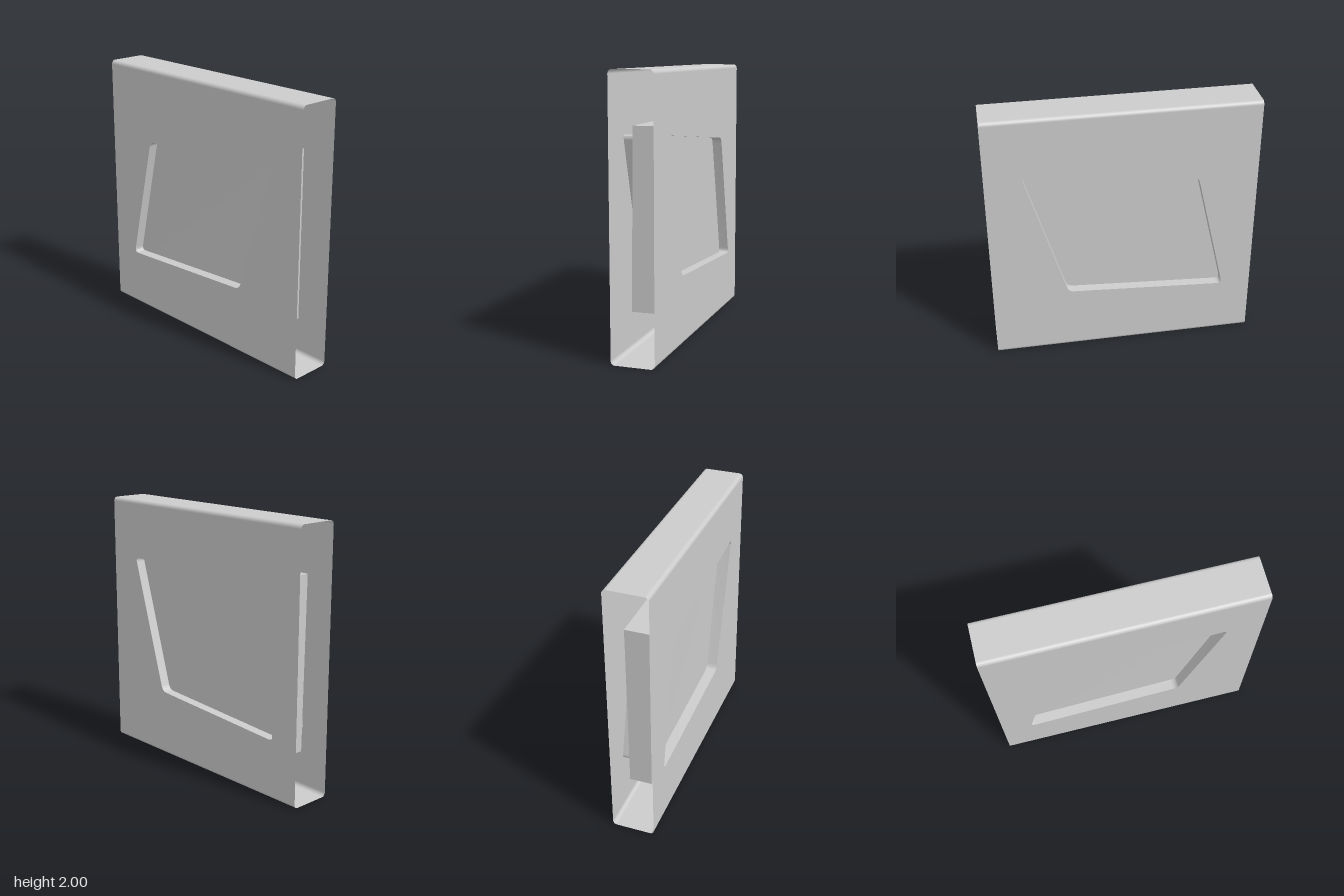
import * as THREE from 'three';
import { toCreasedNormals } from 'three/addons/utils/BufferGeometryUtils.js';

const HALF_DEPTH = 0.16, HEIGHT = 2, RADIUS = 0.03;
const sheet = new THREE.MeshStandardMaterial({ color: 0xcccccc, side: THREE.DoubleSide });
const solid = new THREE.MeshStandardMaterial({ color: 0xcccccc });

function add(group, name, geometry, material) {
  const mesh = new THREE.Mesh(geometry, material);
  mesh.name = name;
  group.add(mesh);
  return mesh;
}

// Slanted four-sided window with softened corners
function windowPath() {
  const c = [[-0.78, 0.444], [0.43, 0.517], [0.738, 1.555], [-0.552, 1.427]]
    .map(([x, y]) => new THREE.Vector2(x, y));
  const cut = 0.045;
  const toward = (a, b) => b.clone().sub(a).setLength(cut).add(a);
  const path = new THREE.Path();
  c.forEach((p, i) => {
    const start = toward(p, c[(i + 3) % 4]), end = toward(p, c[(i + 1) % 4]);
    if (i === 0) path.moveTo(start.x, start.y);
    else path.lineTo(start.x, start.y);
    path.quadraticCurveTo(p.x, p.y, end.x, end.y);
  });
  path.closePath();
  return path;
}

// Top of the sleeve: flat band with a rounded edge at front and back
function capGeometry() {
  const steps = 6, rows = 2 * (steps + 1);
  const geo = new THREE.PlaneGeometry(2, 1, 1, rows - 1);
  const pos = geo.attributes.position, nor = geo.attributes.normal;
  for (let i = 0; i < pos.count; i++) {
    const row = Math.floor(i / 2);
    const back = row <= steps;
    const k = back ? row : rows - 1 - row;
    const a = (k / steps) * Math.PI / 2, s = back ? -1 : 1;
    pos.setY(i, HEIGHT / 2 - RADIUS + RADIUS * Math.sin(a));
    pos.setZ(i, s * (HALF_DEPTH - RADIUS + RADIUS * Math.cos(a)));
    nor.setXYZ(i, 0, Math.sin(a), s * Math.cos(a));
  }
  return geo;
}

// Open wall following the window outline between two depths
function wallGeometry(points, z0, z1) {
  const verts = [], index = [];
  points.forEach((p, i) => {
    verts.push(p.x, p.y, z0, p.x, p.y, z1);
    if (i === points.length - 1) return;
    const a = 2 * i;
    index.push(a, a + 1, a + 2, a + 1, a + 3, a + 2);
  });
  const geo = new THREE.BufferGeometry();
  geo.setAttribute('position', new THREE.Float32BufferAttribute(verts, 3));
  geo.setIndex(index);
  // normals point into the opening
  if (z1 < z0) index.reverse();
  geo.setIndex(index);
  return toCreasedNormals(geo, 0.6);
}

// Slightly uneven slab that closes the window halfway through
function slabGeometry() {
  const geo = new THREE.BoxGeometry(2, 2, 2).toNonIndexed();
  const pos = geo.attributes.position;
  for (let i = 0; i < pos.count; i++) {
    const right = pos.getX(i) > 0, top = pos.getY(i) > 0, front = pos.getZ(i) > 0;
    const x = right ? 0.8 : top ? -0.84 : -0.83;
    const y = top ? 1.62 : right ? 0.33 : 0.318;
    const frontZ = top ? (right ? 0.066 : 0.093) : (right ? 0.08 : 0.084);
    pos.setXYZ(i, x, y, front ? frontZ : -0.085);
  }
  geo.computeVertexNormals();
  return geo;
}

export function createModel() {
  const model = new THREE.Group();
  model.name = 'windowedSleeve';

  // Front and back sheets with the window cut out
  const panel = new THREE.Shape([
    new THREE.Vector2(-1, RADIUS), new THREE.Vector2(1, RADIUS),
    new THREE.Vector2(1, HEIGHT - RADIUS), new THREE.Vector2(-1, HEIGHT - RADIUS),
  ]);
  const path = windowPath();
  panel.holes.push(path);
  const front = new THREE.ShapeGeometry(panel, 8);
  const back = front.clone();
  // turn the back sheet outward while keeping the same outline
  back.index.array.reverse();
  for (let i = 0; i < back.attributes.normal.count; i++) back.attributes.normal.setZ(i, -1);
  add(model, 'frontPanel', front, sheet).position.z = HALF_DEPTH;
  add(model, 'backPanel', back, sheet).position.z = -HALF_DEPTH;

  // Top and bottom bands, open at the left and right ends
  const cap = capGeometry();
  add(model, 'topBand', cap, sheet).position.y = HEIGHT / 2;
  const bottom = add(model, 'bottomBand', cap, sheet);
  bottom.position.y = HEIGHT / 2;
  bottom.rotation.x = Math.PI;

  // Window walls running in to the slab from both sides
  const outline = path.getPoints(8);
  add(model, 'frontWindowWall', wallGeometry(outline, 0.065, HALF_DEPTH), sheet);
  add(model, 'backWindowWall', wallGeometry(outline, -HALF_DEPTH, -0.085), sheet);

  add(model, 'innerSlab', slabGeometry(), solid);
  return model;
}
